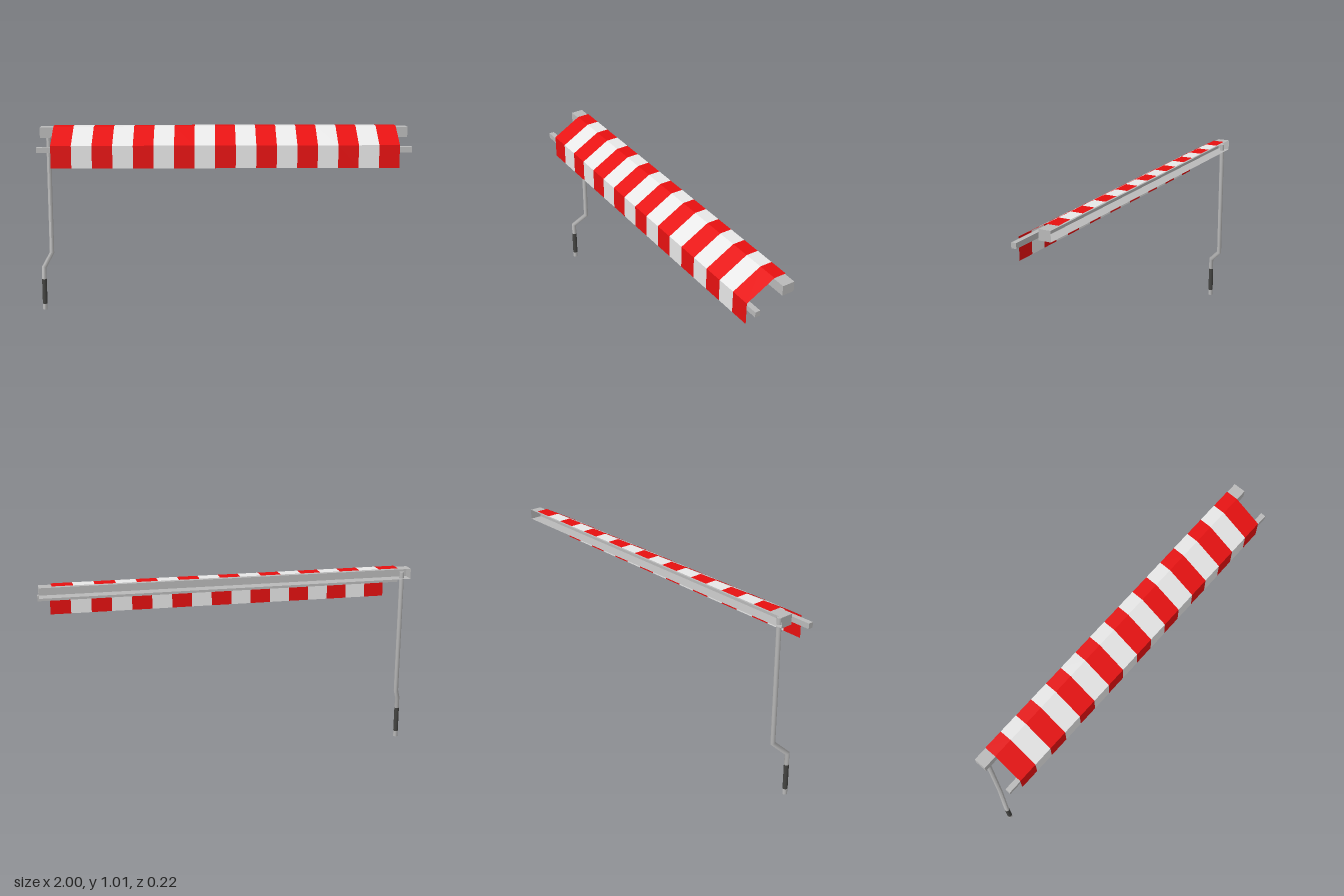
import * as THREE from 'three';

const mat = (name, color, side = THREE.FrontSide) => {
  const m = new THREE.MeshStandardMaterial({ color, side });
  m.name = name;
  return m;
};

export function createModel() {
  const group = new THREE.Group();
  const metal = mat('grey metal', 0xb9b9b9, THREE.DoubleSide);
  const gripDark = mat('dark grip', 0x444442);
  const red = mat('red fabric', 0xee1111, THREE.DoubleSide);
  const white = mat('white fabric', 0xf0f0f0, THREE.DoubleSide);

  const add = (name, geometry, material, x = 0, y = 0, z = 0, parent = group) => {
    const mesh = new THREE.Mesh(geometry, material);
    mesh.name = name;
    mesh.position.set(x, y, z);
    parent.add(mesh);
    return mesh;
  };

  // Wall rail: a box channel left open at the back (-z is the last box face)
  const channel = new THREE.BoxGeometry(1.99, 0.055, 0.066);
  channel.setIndex(Array.from(channel.index.array).slice(0, 30));
  channel.clearGroups();
  add('wallRail', channel, metal, 0.003, 0.978, -0.078);

  // Front bar
  add('frontBar', new THREE.BoxGeometry(1.99, 0.029, 0.028), metal, 0.003, 0.902, 0.094);

  // Striped canopy: flat top, slope and hanging valance, as [z, y]
  const profile = [[-0.111, 1.012], [-0.045, 1.012], [0.109, 0.926], [0.109, 0.805]];
  const canopy = new THREE.Group();
  canopy.name = 'canopy';
  group.add(canopy);
  const count = 17, left = -0.917, width = 1.85 / count;
  for (let i = 0; i < count; i++) {
    const x0 = left + i * width, x1 = x0 + width, pos = [];
    for (let k = 0; k < profile.length - 1; k++) {
      const [za, ya] = profile[k], [zb, yb] = profile[k + 1];
      pos.push(x0, ya, za, x0, yb, zb, x1, yb, zb, x0, ya, za, x1, yb, zb, x1, ya, za);
    }
    const g = new THREE.BufferGeometry();
    g.setAttribute('position', new THREE.Float32BufferAttribute(pos, 3));
    g.computeVertexNormals();
    add('canopyStripe', g, i % 2 ? white : red, 0, 0, 0, canopy);
  }

  // Crank rod: a cylinder whose rings follow the path, mitred at the two bends
  const r = 0.0125, sides = 12;
  const path = [
    { x: -0.951, y: 0.985, z: -0.085, tilt: 0 },
    { x: -0.951, y: 0.305, z: -0.085, tilt: 0.46 },
    { x: -0.9875, y: 0.237, z: -0.017, tilt: 0.46 },
    { x: -0.9875, y: 0, z: -0.017, tilt: 0 },
  ];
  const bend = new THREE.Vector2(-0.0365, 0.068).normalize();
  const rod = new THREE.CylinderGeometry(r, r, 3, sides, 3);
  const p = rod.attributes.position;
  for (let i = 0; i < p.count; i++) {
    const c = path[Math.round(1.5 - p.getY(i))];
    const x = p.getX(i), z = p.getZ(i);
    p.setXYZ(i, c.x + x, c.y + c.tilt * (x * bend.x + z * bend.y), c.z + z);
  }
  rod.computeVertexNormals();
  add('crankRod', rod, metal);

  // Dark sleeve on the handle
  add('crankGrip', new THREE.CylinderGeometry(r + 0.0006, r + 0.0006, 0.14, sides), gripDark,
    -0.9875, 0.103, -0.017);

  return group;
}
